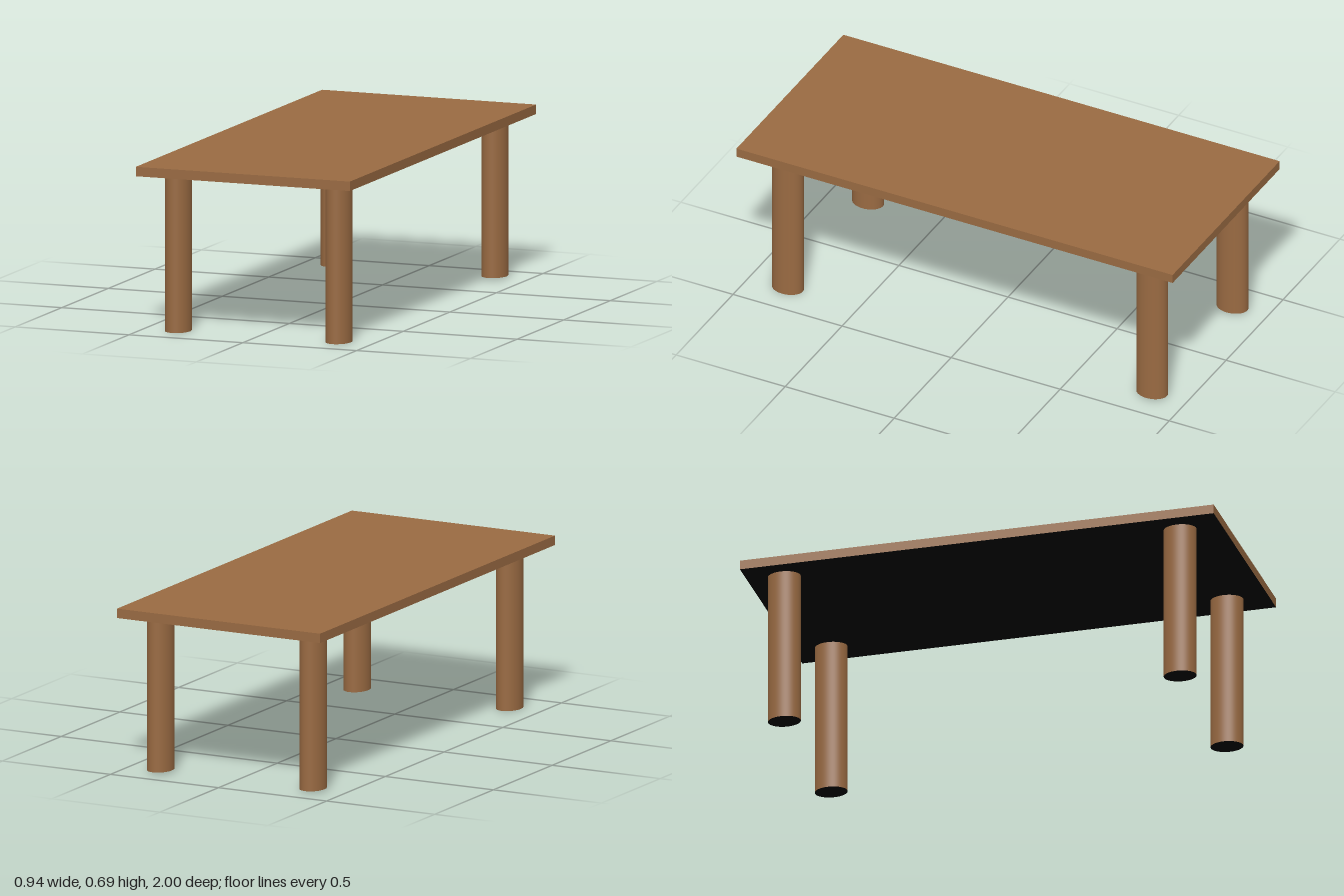
import * as THREE from 'three';

export function createModel() {
  const table = new THREE.Group();
  table.name = 'table';

  const wood = new THREE.MeshStandardMaterial({ color: 0x996a42 });
  wood.name = 'brown wood';
  const black = new THREE.MeshStandardMaterial({ color: 0x020202 });
  black.name = 'black underside';

  const height = 0.695, thickness = 0.039;
  const underside = height - thickness;

  // Flat rectangular top, black on its lower face
  const top = new THREE.Mesh(
    new THREE.BoxGeometry(0.94, thickness, 2),
    [wood, wood, wood, black, wood, wood]
  );
  top.name = 'tabletop';
  top.position.y = height - thickness / 2;
  table.add(top);

  // Four oval legs with black ends; the back pair is a touch shorter
  const addLeg = (name, x, z, foot) => {
    const length = underside - foot;
    const geometry = new THREE.CylinderGeometry(1, 1, length, 48);
    geometry.scale(0.052, 1, 0.068);
    const leg = new THREE.Mesh(geometry, [wood, black, black]);
    leg.name = name;
    leg.position.set(x, foot + length / 2, z);
    table.add(leg);
  };
  addLeg('frontLeftLeg', 0.351, 0.826, 0);
  addLeg('frontRightLeg', -0.354, 0.826, 0);
  addLeg('backLeftLeg', 0.352, -0.845, 0.007);
  addLeg('backRightLeg', -0.354, -0.845, 0.007);

  return table;
}
